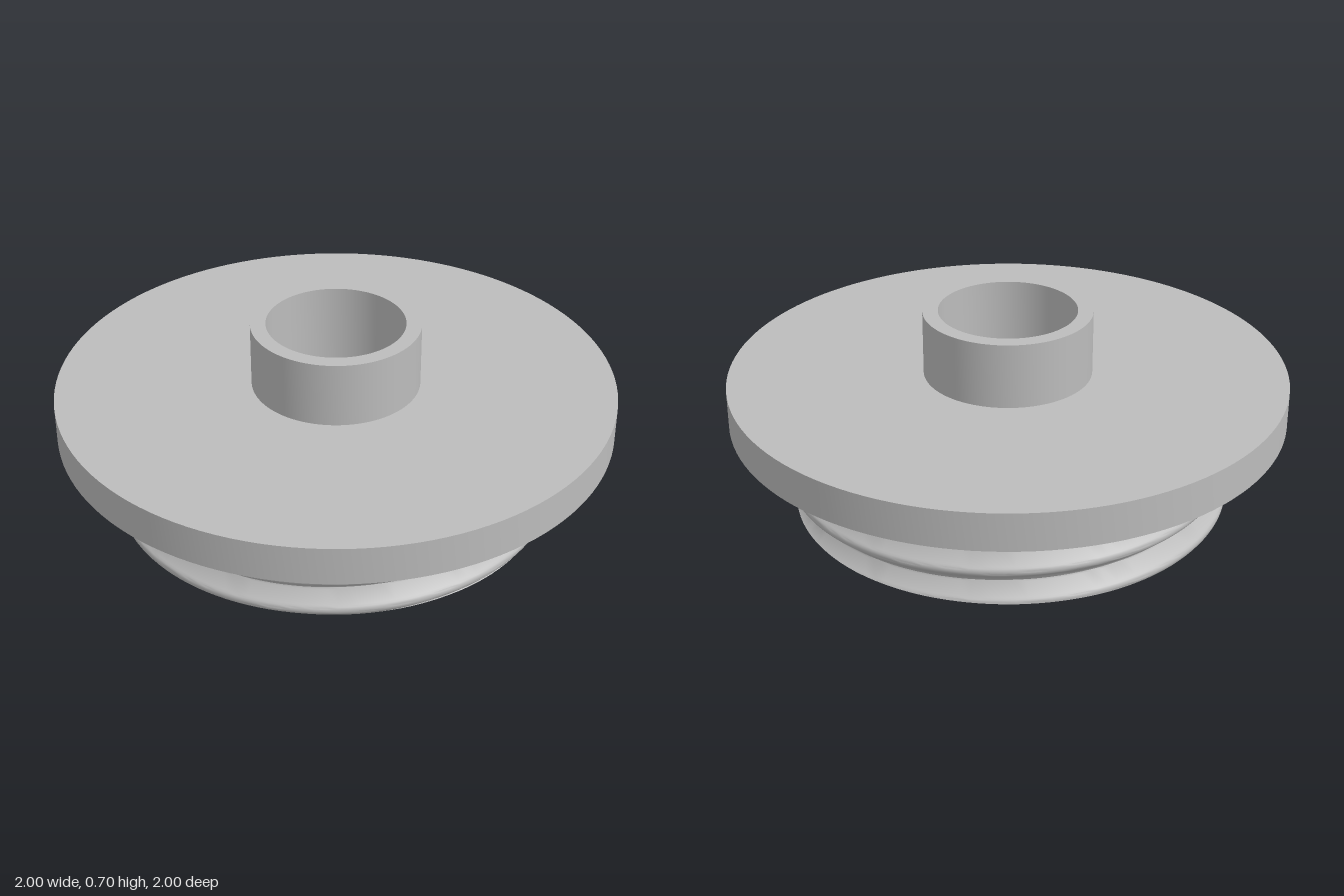
import * as THREE from 'three';
import { toCreasedNormals } from 'three/addons/utils/BufferGeometryUtils.js';

const SEG = 128;
const PITCH = 0.12, CREST_Y = 0.09, CREST_R = 0.8, ROOT_R = 0.745;
const SKIRT_R = 0.7, CEILING = 0.237, FLANGE_Y = 0.33, FLANGE_TOP = 0.467, TOP = 0.703;
const BORE_R = 0.247, SPOUT_R = 0.302;

// half thread profile: [distance from crest along the axis, radius]
const PROFILE = [[0, CREST_R], [0.008, 0.799], [0.014, 0.795], [0.019, 0.789], [0.054, 0.747], [0.06, ROOT_R]];

// thread radius at a signed distance from a crest
function threadRadius(offset) {
  const d = Math.abs(offset - PITCH * Math.round(offset / PITCH));
  for (let i = 1; i < PROFILE.length; i++) {
    const [d0, r0] = PROFILE[i - 1], [d1, r1] = PROFILE[i];
    if (d <= d1) return r0 + (r1 - r0) * (d - d0) / (d1 - d0);
  }
  return ROOT_R;
}

// helical surface cut flat at both ends, with its bottom rim and top ledge
function threadGeometry() {
  const offsets = [];
  for (let turn = -3; turn <= 3; turn++) {
    for (let i = PROFILE.length - 1; i > 0; i--) offsets.push(turn * PITCH - PROFILE[i][0]);
    for (let i = 0; i < PROFILE.length - 1; i++) offsets.push(turn * PITCH + PROFILE[i][0]);
  }
  const positions = [], indices = [];
  const rows = offsets.length + 2;
  for (let i = 0; i <= SEG; i++) {
    const a = (i % SEG) / SEG * Math.PI * 2;
    const crest = CREST_Y + PITCH * i / SEG;
    const section = [[SKIRT_R, 0]];
    for (const o of offsets) {
      const y = THREE.MathUtils.clamp(crest + o, 0, CEILING);
      section.push([threadRadius(y - crest), y]);
    }
    section.push([CREST_R, CEILING]);
    for (const [r, y] of section) positions.push(r * Math.cos(a), y, -r * Math.sin(a));
  }
  for (let i = 0; i < SEG; i++) {
    for (let j = 0; j < rows - 1; j++) {
      const a = i * rows + j, b = a + rows;
      indices.push(a, b, a + 1, b, b + 1, a + 1);
    }
  }
  const g = new THREE.BufferGeometry();
  g.setAttribute('position', new THREE.Float32BufferAttribute(positions, 3));
  g.setIndex(indices);
  return toCreasedNormals(g, 0.6);
}

export function createModel() {
  const model = new THREE.Group();
  model.name = 'threadedCap';
  const grey = new THREE.MeshStandardMaterial({ color: 0xbcbcbc });
  grey.name = 'grey';

  function add(name, geometry) {
    const mesh = new THREE.Mesh(geometry, grey);
    mesh.name = name;
    model.add(mesh);
  }
  const turned = points => toCreasedNormals(
    new THREE.LatheGeometry(points.map(p => new THREE.Vector2(...p)), SEG), 0.6);

  add('thread', threadGeometry());
  // plain neck above the thread
  add('collar', turned([[CREST_R, CEILING], [CREST_R, FLANGE_Y]]));
  // wide disc
  add('flange', turned([[CREST_R, FLANGE_Y], [1, FLANGE_Y], [1, FLANGE_TOP], [SPOUT_R, FLANGE_TOP]]));
  // tube on top, with the bore running right through
  add('spout', turned([[SPOUT_R, FLANGE_TOP], [SPOUT_R, TOP], [BORE_R, TOP], [BORE_R, CEILING]]));
  // hollow underside
  add('innerSkirt', turned([[BORE_R, CEILING], [SKIRT_R, CEILING], [SKIRT_R, 0]]));
  return model;
}
